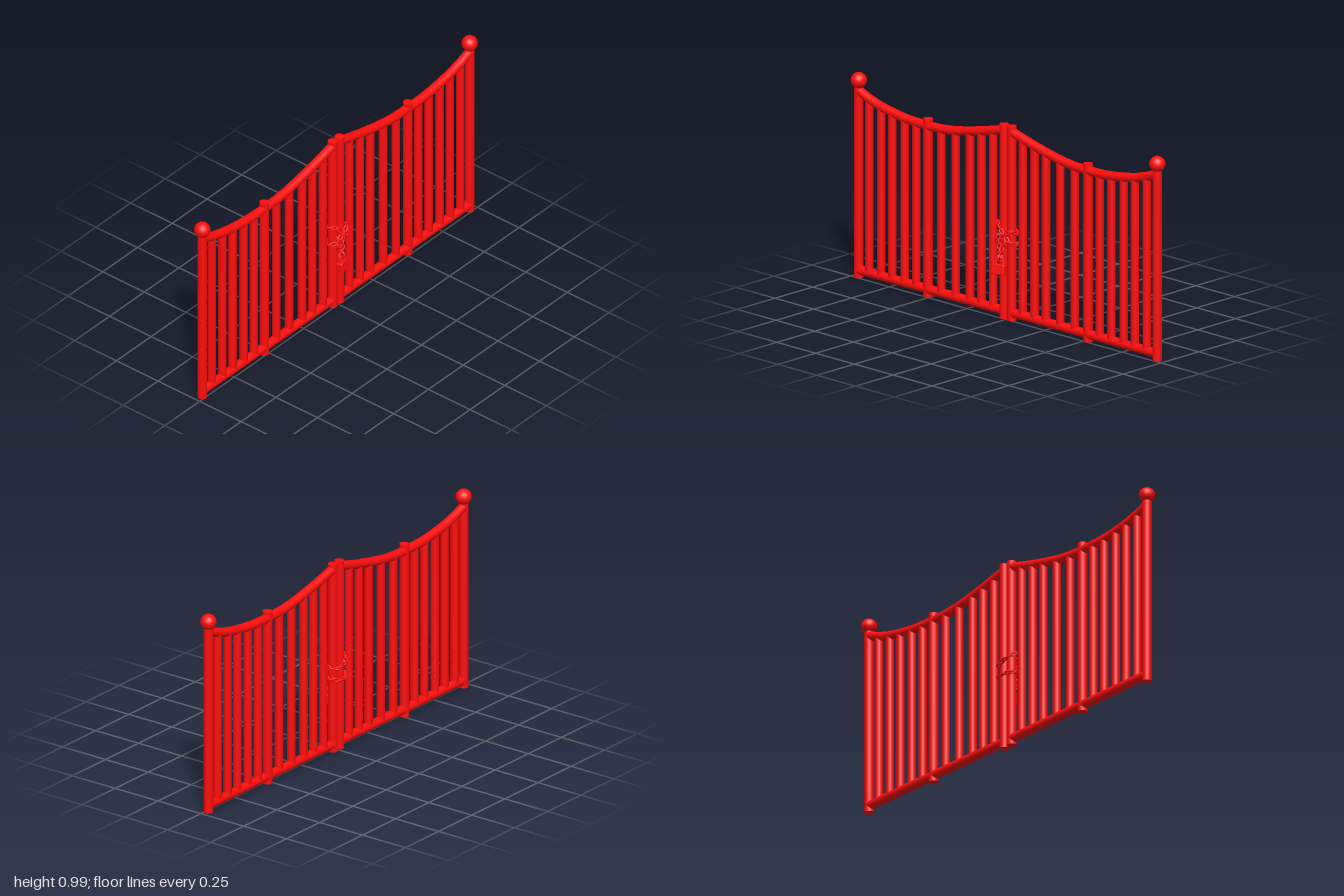
import * as THREE from 'three';

const red = new THREE.MeshStandardMaterial({ color: 0xff0d0d });
const Z = -0.015; // plane of the gate
const V = (x, y, z) => new THREE.Vector3(x, y, z);

function add(parent, name, geometry, x = 0, y = 0, z = 0) {
  const mesh = new THREE.Mesh(geometry, red);
  mesh.name = name;
  mesh.position.set(x, y, z);
  parent.add(mesh);
  return mesh;
}

// Centre line of the sagging top rail: [distance from middle, height]
const railLine = [[0.024, 0.907], [0.19, 0.865], [0.39, 0.828], [0.53, 0.823], [0.67, 0.828], [0.86, 0.862], [0.962, 0.9]];

function railHeight(x) {
  let i = 1;
  while (i < railLine.length - 1 && railLine[i][0] < x) i++;
  const [x0, y0] = railLine[i - 1], [x1, y1] = railLine[i];
  return y0 + (y1 - y0) * (x - x0) / (x1 - x0);
}

function upright(parent, name, x, bottom, top, radius) {
  add(parent, name, new THREE.CylinderGeometry(radius, radius, top - bottom, 20), x, (top + bottom) / 2, Z);
}

// One leaf of the gate; side is +1 or -1
function gateLeaf(side) {
  const leaf = new THREE.Group();
  leaf.name = side > 0 ? 'leftLeaf' : 'rightLeaf';

  // Posts and ball finial
  upright(leaf, 'outerPost', side * 0.962, 0, 0.92, 0.0225);
  add(leaf, 'ballFinial', new THREE.SphereGeometry(0.038, 28, 18), side * 0.962, 0.948, Z);
  upright(leaf, 'middlePost', side * 0.516, 0, 0.858, 0.0225);
  upright(leaf, 'meetingPost', side * 0.025, 0, 0.935, 0.0225);

  // Bars between the rails
  for (const x of [0.096, 0.171, 0.245, 0.338, 0.43, 0.591, 0.666, 0.745, 0.818, 0.894]) {
    upright(leaf, 'bar', side * x, 0.035, railHeight(x), 0.02);
  }

  // Rails
  const bottom = add(leaf, 'bottomRail', new THREE.CylinderGeometry(0.022, 0.022, 0.937, 20), side * 0.4935, 0.035, Z);
  bottom.rotation.z = Math.PI / 2;
  const curve = new THREE.CatmullRomCurve3(railLine.map(([x, y]) => V(side * x, y, Z)));
  add(leaf, 'topRail', new THREE.TubeGeometry(curve, 14, 0.022, 20));
  return leaf;
}

// Interlocking oval links along a curve, alternately turned
function chain(name, curve, count, closed) {
  const group = new THREE.Group();
  group.name = name;
  const link = new THREE.TorusGeometry(0.0085, 0.0042, 8, 16).scale(1.55, 1, 1);
  for (let i = 0; i < count; i++) {
    const t = closed ? i / count : i / (count - 1);
    const mesh = add(group, 'link', link);
    mesh.position.copy(curve.getPointAt(t));
    mesh.quaternion.setFromUnitVectors(V(1, 0, 0), curve.getTangentAt(t));
    mesh.rotateX((i % 2 ? 1 : -1) * Math.PI / 4);
  }
  return group;
}

function padlock() {
  const lock = new THREE.Group();
  lock.name = 'padlock';

  // Body with rounded shoulders
  const w = 0.029, h = 0.021;
  const s = new THREE.Shape();
  s.moveTo(-w, -h);
  s.lineTo(w, -h);
  s.lineTo(w, h - 0.008);
  s.quadraticCurveTo(w, h, w - 0.008, h);
  s.lineTo(-w + 0.008, h);
  s.quadraticCurveTo(-w, h, -w, h - 0.008);
  s.closePath();
  const body = new THREE.ExtrudeGeometry(s, { depth: 0.022, bevelSize: 0.004, bevelThickness: 0.005, bevelSegments: 3 });
  add(lock, 'lockBody', body.translate(0, 0, -0.011));

  // Shackle
  const path = new THREE.CatmullRomCurve3([
    V(-0.018, 0.015, 0), V(-0.018, 0.045, 0), V(-0.012, 0.06, 0), V(0, 0.065, 0),
    V(0.012, 0.06, 0), V(0.018, 0.045, 0), V(0.018, 0.015, 0)]);
  add(lock, 'shackle', new THREE.TubeGeometry(path, 24, 0.005, 10));
  lock.position.set(-0.01, 0.248, 0.034);
  lock.rotation.set(-0.2, 0.25, 0.08);
  return lock;
}

export function createModel() {
  const gate = new THREE.Group();
  gate.name = 'doubleGate';
  gate.add(gateLeaf(1), gateLeaf(-1));

  // Chain crossing in front of both meeting posts and wrapping behind them
  const wrap = new THREE.CatmullRomCurve3([
    V(-0.04, 0.46, 0.012), V(0, 0.415, 0.018), V(0.045, 0.378, 0.014), V(0.056, 0.37, -0.02),
    V(0.03, 0.362, -0.045), V(-0.03, 0.36, -0.045), V(-0.058, 0.365, -0.015), V(-0.045, 0.375, 0.014),
    V(0, 0.4, 0.02), V(0.042, 0.432, 0.014), V(0.056, 0.425, -0.015), V(0.03, 0.42, -0.045),
    V(-0.03, 0.44, -0.045), V(-0.056, 0.458, -0.015)], true);
  gate.add(chain('wrappedChain', wrap, 28, true));

  // Loose ends holding the padlock
  const drop = (x) => new THREE.CatmullRomCurve3([V(x, 0.395, 0.018), V(x * 0.8, 0.35, 0.02), V(-0.008, 0.315, 0.024)]);
  gate.add(chain('hangingChain', drop(-0.03), 5, false), chain('hangingChain', drop(0.01), 5, false));
  add(gate, 'lockRing', new THREE.TorusGeometry(0.018, 0.005, 8, 24), -0.008, 0.3, 0.026).rotation.y = Math.PI / 2;
  gate.add(padlock());
  return gate;
}
